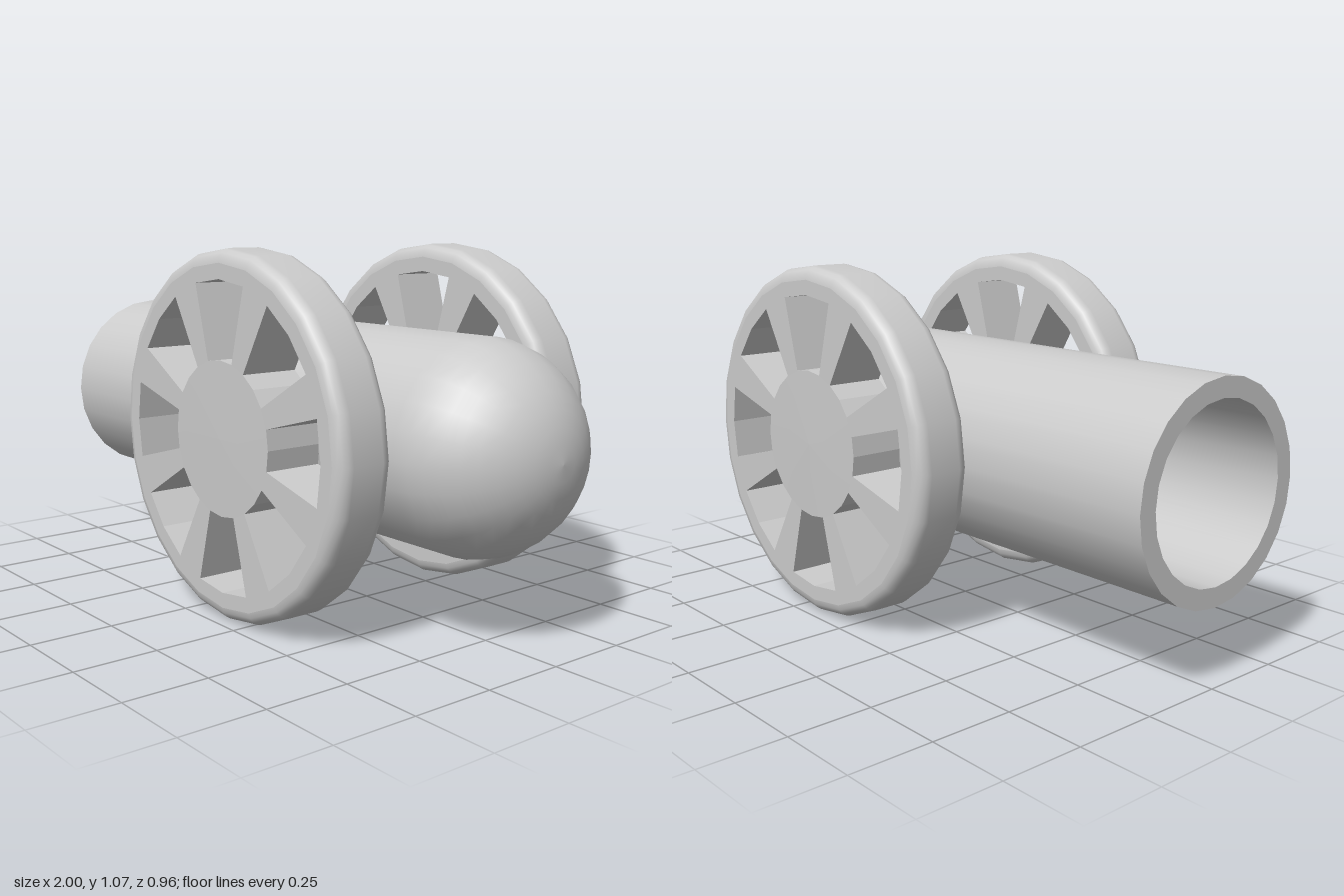
import * as THREE from 'three';

const SIDES = 24;          // facets around each wheel
const AXIS_Y = 0.536;      // height of barrel and wheel centres
const material = new THREE.MeshStandardMaterial({ color: 0xcccccc, side: THREE.DoubleSide });

const v2 = (x, y) => new THREE.Vector2(x, y);

function addMesh(parent, name, geometry) {
  const mesh = new THREE.Mesh(geometry, material);
  mesh.name = name;
  parent.add(mesh);
  return mesh;
}

// Quarter circle from (r, y) up to the axis
function dome(r, y, steps = 10) {
  return Array.from({ length: steps + 1 }, (_, i) => {
    const a = (i / steps) * Math.PI / 2;
    return v2(Math.max(0, r * Math.cos(a)), y + r * Math.sin(a));
  });
}

// Hollow tube with a rounded closed end, muzzle at -x
function createBarrel() {
  const barrel = new THREE.Group();
  barrel.name = 'barrel';
  const outer = 0.307, bore = 0.25, muzzle = -1, shoulder = 0.693;
  const parts = {
    barrelShell: [v2(outer, muzzle), ...dome(outer, shoulder)],
    muzzleLip: [v2(bore, muzzle), v2(outer, muzzle)],
    bore: [...dome(bore, shoulder).reverse(), v2(bore, muzzle)],
  };
  for (const [name, profile] of Object.entries(parts)) {
    addMesh(barrel, name, new THREE.LatheGeometry(profile, SIDES).rotateZ(-Math.PI / 2));
  }
  barrel.position.set(0, AXIS_Y, -0.004);
  return barrel;
}

// Spoked wheel, centred on the origin with its outer face towards +z
function createWheel() {
  const wheel = new THREE.Group();
  const radius = 0.535, half = 0.089, round = 0.04;
  const hub = 0.225, window = 0.45, step = (Math.PI * 2) / SIDES;
  const at = (r, k) => v2(r * Math.cos(k * step), r * Math.sin(k * step));

  // Disc with eight windows, leaving the hub and spokes
  const disc = new THREE.Shape(Array.from({ length: SIDES }, (_, k) => at(radius - round, k)));
  for (let i = 0; i < 8; i++) {
    const k = i * 3;
    disc.holes.push(new THREE.Path([
      at(window, k - 1), at(window, k), at(window, k + 1),
      at(hub, k + 1), at(hub, k), at(hub, k - 1),
    ]));
  }
  const discGeometry = new THREE.ExtrudeGeometry(disc, { depth: half * 2, bevelEnabled: false });
  addMesh(wheel, 'hubAndSpokes', discGeometry.translate(0, 0, -half));

  // Rounded tread
  const tread = [];
  for (const [centre, start] of [[-half + round, -Math.PI / 2], [half - round, 0]]) {
    for (let i = 0; i <= 4; i++) {
      const a = start + (i / 4) * Math.PI / 2;
      tread.push(v2(radius - round + round * Math.cos(a), centre + round * Math.sin(a)));
    }
  }
  addMesh(wheel, 'tread', new THREE.LatheGeometry(tread, SIDES).rotateX(Math.PI / 2));

  // Very shallow cap on the outer face of the hub
  const cap = new THREE.ConeGeometry(hub, 0.004, SIDES, 1, true);
  addMesh(wheel, 'hubCap', cap.rotateX(Math.PI / 2).translate(0, 0, half + 0.002));
  return wheel;
}

export function createModel() {
  const model = new THREE.Group();
  model.name = 'cannon';
  model.add(createBarrel());
  for (const side of [1, -1]) {
    const wheel = createWheel();
    wheel.name = side > 0 ? 'frontWheel' : 'backWheel';
    wheel.position.set(0.165, AXIS_Y, side * 0.388);
    if (side < 0) wheel.rotation.y = Math.PI;
    model.add(wheel);
  }
  return model;
}
